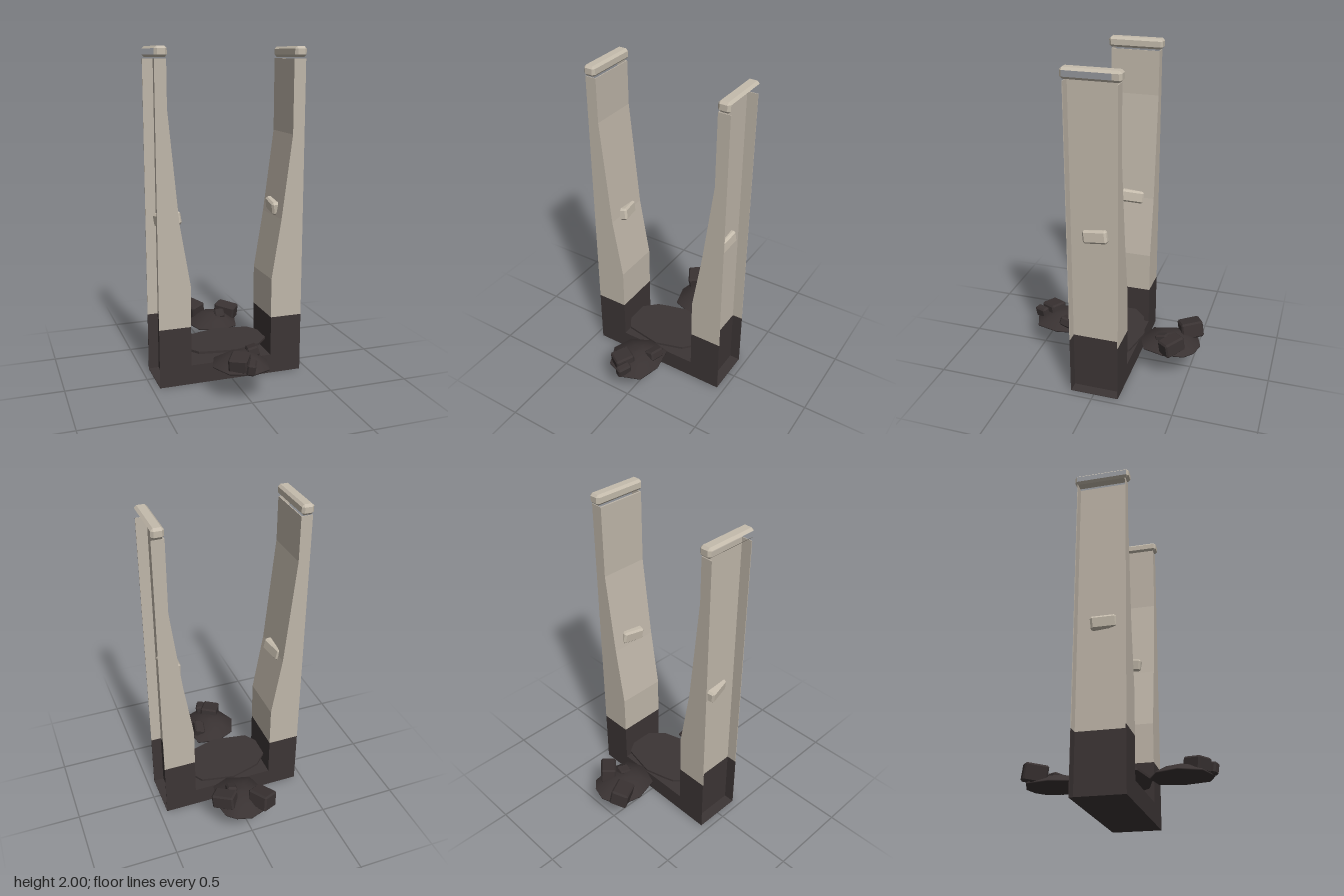
import * as THREE from 'three';
import { ConvexGeometry } from 'three/addons/geometries/ConvexGeometry.js';

const mat = (name, color, extra = {}) => {
  const m = new THREE.MeshStandardMaterial({ color, ...extra });
  m.name = name;
  return m;
};

const OUT = 0.454, WALL = 0.39, Z0 = -0.153, Z1 = 0.148, SPLIT = 0.365;

export function createModel() {
  const model = new THREE.Group();
  const pale = mat('paleStone', 0xbfb6a9);
  const trim = mat('trimStone', 0xc4bbac);
  const dark = mat('darkStone', 0x3c3535);
  const rubble = mat('rubbleStone', 0x393232);

  const add = (name, geometry, material, parent = model) => {
    const mesh = new THREE.Mesh(geometry, material);
    mesh.name = name;
    parent.add(mesh);
    return mesh;
  };

  // Shape in the x-y plane, extruded over the depth of the frame
  const extrudeZ = (points) => {
    const shape = new THREE.Shape(points.map((p) => new THREE.Vector2(...p)));
    const g = new THREE.ExtrudeGeometry(shape, { depth: Z1 - Z0, bevelEnabled: false });
    return g.translate(0, 0, Z0);
  };

  // Box with every edge chamfered by c; openSide drops the flat face at x = +-w/2
  const chamferBox = (w, h, d, c, openSide = 0) => {
    const pts = [];
    for (const sx of [-1, 1]) for (const sy of [-1, 1]) for (const sz of [-1, 1]) {
      const x = w / 2, y = h / 2, z = d / 2;
      pts.push(
        new THREE.Vector3(sx * x, sy * (y - c), sz * (z - c)),
        new THREE.Vector3(sx * (x - c), sy * y, sz * (z - c)),
        new THREE.Vector3(sx * (x - c), sy * (y - c), sz * z));
    }
    const g = new ConvexGeometry(pts);
    if (!openSide) return g;
    const p = g.attributes.position, keep = [];
    for (let i = 0; i < p.count; i += 3) {
      const flat = [0, 1, 2].every((k) => p.getX(i + k) * openSide > w / 2 - 1e-5);
      if (!flat) keep.push(i, i + 1, i + 2);
    }
    g.setIndex(keep);
    return g;
  };

  // Dark U-shaped foot of the frame
  add('base', extrudeZ([
    [-WALL, 0], [WALL, 0], [WALL, SPLIT], [0.255, SPLIT],
    [0.255, 0.12], [-0.258, 0.12], [-0.258, SPLIT], [-WALL, SPLIT],
  ]), dark);

  // Inner edge of each post, from the foot to the top
  const inner = {
    '-1': [[0.258, SPLIT], [0.258, 0.62], [0.322, 1.0], [0.385, 1.66], [0.385, 1.93]],
    '1': [[0.255, SPLIT], [0.255, 0.61], [0.315, 0.98], [0.38, 1.49], [0.38, 1.93]],
  };

  for (const s of [-1, 1]) {
    const post = new THREE.Group();
    post.name = s > 0 ? 'leftPost' : 'rightPost';
    model.add(post);
    const profile = [...inner[s], [WALL, 1.93], [WALL, SPLIT]].map(([x, y]) => [s * x, y]);
    add('postBody', extrudeZ(profile), pale, post);

    // Flanges that enclose the shallow open recess on the outer side
    const t = 0.004, w = OUT - WALL, cx = s * (OUT + WALL) / 2;
    for (const z of [Z0 + t / 2, Z1 - t / 2]) {
      add('flange', new THREE.BoxGeometry(w, 1.93 - SPLIT, t), pale, post)
        .position.set(cx, (1.93 + SPLIT) / 2, z);
      add('flangeFoot', new THREE.BoxGeometry(w, SPLIT, t), dark, post)
        .position.set(cx, SPLIT / 2, z);
    }
    add('recessFloor', new THREE.BoxGeometry(w, t, Z1 - Z0), dark, post)
      .position.set(cx, t / 2, (Z0 + Z1) / 2);

    // Chamfered cap bar, open on the outer side
    add('cap', chamferBox(0.073, 0.062, 0.336, 0.014, s), trim, post)
      .position.set(s * 0.418, 1.969, -0.003);

    // Stone chip embedded in the post
    const chip = add('stoneChip', chamferBox(0.12, 0.08, 0.15, 0.012), trim, post);
    chip.position.set(s * 0.355, s > 0 ? 1.04 : 1.0, -0.005);
    chip.rotation.set(s > 0 ? 0.14 : -0.12, s > 0 ? -0.08 : 0.22, s > 0 ? 0.1 : 0.15);
  }

  // Thin slab between the posts
  const slabShape = new THREE.Shape([
    [-0.27, -0.05], [-0.18, -0.14], [-0.12, -0.16], [0.01, -0.195], [0.21, -0.155], [0.27, -0.06],
    [0.27, 0.035], [0.18, 0.135], [0.01, 0.187], [-0.21, 0.15], [-0.27, 0.06],
  ].map(([x, z]) => new THREE.Vector2(x, -z)));
  const slab = new THREE.ExtrudeGeometry(slabShape, { depth: 0.015, bevelEnabled: false });
  add('slab', slab.rotateX(-Math.PI / 2).translate(0, 0.187, 0), dark);

  // Shallow smooth mound lofted from an outline (x, z pairs, seen from above)
  const mound = (name, cx, cz, outline) => {
    const rings = [[0, 0.184], [0.99, 0.184], [1, 0.192], [0.6, 0.232], [0.3, 0.248], [0, 0.252]];
    const n = outline.length, pos = [], idx = [];
    for (const [k, y] of rings) {
      for (const [x, z] of outline) pos.push(cx + (x - cx) * k, y, cz + (z - cz) * k);
    }
    for (let r = 0; r < rings.length - 1; r++) for (let i = 0; i < n; i++) {
      const a = r * n + i, b = r * n + (i + 1) % n;
      if (r > 0) idx.push(a, b, b + n);
      idx.push(a, b + n, a + n);
    }
    const g = new THREE.BufferGeometry();
    g.setAttribute('position', new THREE.Float32BufferAttribute(pos, 3));
    g.setIndex(idx);
    g.computeVertexNormals();
    add(name, g, rubble);
  };
  // Outlines run counter-clockwise when seen from above
  mound('backMound', 0.03, -0.37, [
    [0.03, -0.565], [-0.1, -0.52], [-0.13, -0.38], [-0.09, -0.235], [0.05, -0.185],
    [0.16, -0.23], [0.195, -0.36], [0.175, -0.49], [0.12, -0.54],
  ]);
  mound('frontMound', -0.02, 0.36, [
    [-0.03, 0.18], [-0.145, 0.235], [-0.193, 0.36], [-0.135, 0.49], [0, 0.54],
    [0.105, 0.5], [0.14, 0.36], [0.11, 0.205],
  ]);

  // Loose rubble: position, size, rotation
  const rocks = [
    [[-0.07, 0.248, -0.48], [0.11, 0.105, 0.14], [0.12, 0.5, 0.12]],
    [[0.148, 0.242, -0.405], [0.14, 0.095, 0.095], [0.1, -0.7, -0.08]],
    [[0.08, 0.235, -0.335], [0.065, 0.06, 0.08], [0.3, -0.15, 0.2]],
    [[-0.06, 0.237, 0.45], [0.11, 0.085, 0.12], [0.15, -0.55, 0.1]],
    [[-0.01, 0.225, 0.515], [0.05, 0.07, 0.09], [0.1, -0.45, -0.1]],
    [[0.075, 0.232, 0.3], [0.07, 0.06, 0.1], [-0.15, -0.2, 0.25]],
  ];
  rocks.forEach(([p, size, rot], i) => {
    const rock = add(`rock${i + 1}`, chamferBox(...size, 0.01), rubble);
    rock.position.set(...p);
    rock.rotation.set(...rot);
  });

  return model;
}
